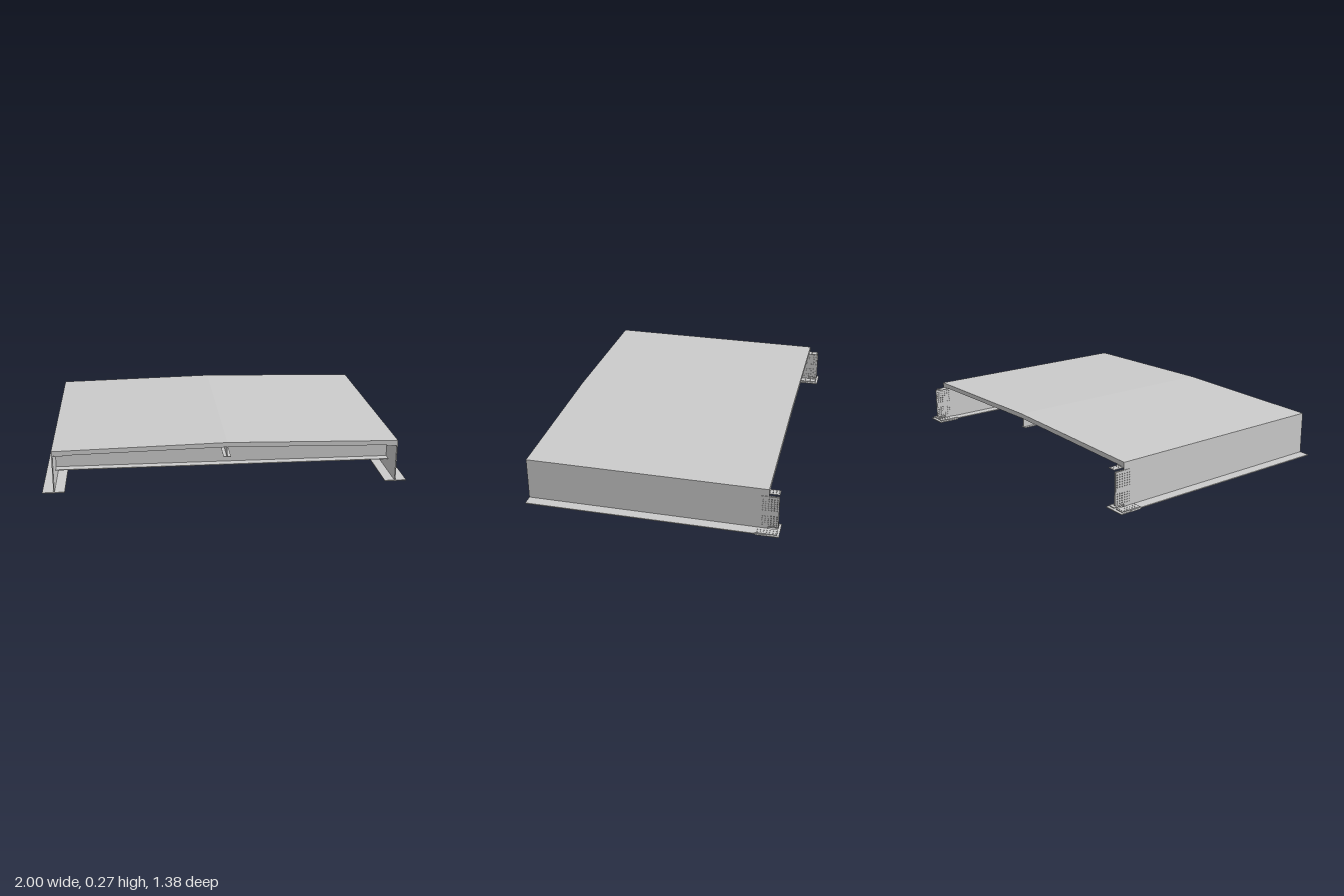
import * as THREE from 'three';

const FRONT = 0.685, BACK = -0.625, WEB_X = 0.937;
const FALL = 0.0055; // gentle fall of the whole deck towards the back

export function createModel() {
  const model = new THREE.Group();
  model.name = 'bridgeDeckSection';
  const material = new THREE.MeshStandardMaterial({ color: 0xcccccc, flatShading: true });

  const add = (name, geometry, parent = model) => {
    const p = geometry.attributes.position;
    for (let i = 0; i < p.count; i++) p.setY(i, p.getY(i) + FALL * (p.getZ(i) - 0.69));
    geometry.computeVertexNormals();
    const mesh = new THREE.Mesh(geometry, material);
    mesh.name = name;
    parent.add(mesh);
    return mesh;
  };

  // box given by its limits on each axis
  const box = (x0, x1, y0, y1, z0, z1) =>
    new THREE.BoxGeometry(x1 - x0, y1 - y0, z1 - z0)
      .translate((x0 + x1) / 2, (y0 + y1) / 2, (z0 + z1) / 2);

  // strip across the deck whose top and bottom may rise to a crown at x = 0
  const crowned = (half, top, topRise, bottom, bottomRise, z0, z1) => {
    const shape = new THREE.Shape([
      [-half, bottom], [0, bottom + bottomRise], [half, bottom],
      [half, top], [0, top + topRise], [-half, top],
    ].map(([x, y]) => new THREE.Vector2(x, y)));
    return new THREE.ExtrudeGeometry(shape, { depth: z1 - z0, bevelEnabled: false }).translate(0, 0, z0);
  };

  // drilled plate drawn in (u, v), extruded by its thickness
  const drilled = (u0, u1, v0, v1, us, vs, thickness) => {
    const shape = new THREE.Shape([
      new THREE.Vector2(u0, v0), new THREE.Vector2(u1, v0),
      new THREE.Vector2(u1, v1), new THREE.Vector2(u0, v1),
    ]);
    for (const u of us) for (const v of vs) {
      shape.holes.push(new THREE.Path().absarc(u, v, 0.0028, 0, Math.PI * 2, true));
    }
    return new THREE.ExtrudeGeometry(shape, { depth: thickness, bevelEnabled: false, curveSegments: 6 });
  };
  const row = (start, step, count) => Array.from({ length: count }, (_, i) => start + i * step);

  // concrete slab
  add('deckSlab', crowned(0.94, 0.252, 0.02, 0.226, 0.02, BACK, FRONT));

  // cross beams: web, flat bottom flange, crowned top flange
  for (const z of [-0.31, 0.09, 0.49]) {
    const beam = new THREE.Group();
    beam.name = 'crossBeam';
    model.add(beam);
    add('crossBeamWeb', crowned(WEB_X, 0.222, 0.02, 0.09, 0, z - 0.003, z + 0.003), beam);
    add('crossBeamBottomFlange', box(-WEB_X, WEB_X, 0.086, 0.09, z - 0.05, z + 0.05), beam);
    add('crossBeamTopFlange', crowned(0.88, 0.226, 0.02, 0.222, 0.02, z - 0.05, z + 0.05), beam);
  }

  // central stringer
  add('stringerWeb', box(-0.002, 0.002, 0.192, 0.246, BACK + 0.01, FRONT));
  add('stringerFlange', box(-0.02, 0.02, 0.189, 0.192, BACK + 0.01, FRONT));

  // main girders with drilled splice plates at the back end
  const webHoles = [...row(0.042, 0.013, 5), ...row(0.13, 0.013, 6)];
  for (const s of [-1, 1]) {
    const girder = new THREE.Group();
    girder.name = s > 0 ? 'leftGirder' : 'rightGirder';
    model.add(girder);
    const span = (a, b) => (s > 0 ? [a, b] : [-b, -a]);

    add('girderWeb', box(...span(0.934, 0.94), 0.0175, 0.226, BACK, FRONT), girder);
    add('girderBottomFlange', box(...span(0.88, 1), 0.0125, 0.0175, BACK, FRONT), girder);
    add('girderTopFlange', box(...span(0.88, 0.937), 0.222, 0.226, BACK, FRONT), girder);

    // web plates on both faces
    for (const x of [0.931, 0.94]) {
      const plate = drilled(0.585, 0.68, 0.032, 0.212, row(0.594, 0.0152, 6), webHoles, 0.003)
        .rotateY(Math.PI / 2); // u runs towards -z
      add('webSplicePlate', plate.translate(span(x, x + 0.003)[0], 0, 0), girder);
    }

    // flat plates above and below the flanges; v runs towards -z
    const flat = (name, a, b, us, y, z0, z1, t) => {
      const [u0, u1] = span(a, b);
      const plate = drilled(u0, u1, z0, z1, us.map((u) => u * s), row(z0 + 0.01, 0.0165, 7), t);
      add(name, plate.rotateX(-Math.PI / 2).translate(0, y, 0), girder);
    };
    flat('bottomSplicePlate', 0.876, 1, [0.895, 0.912, 0.965, 0.982], 0.0076, 0.565, 0.69, 0.0049);
    flat('innerBottomSplicePlate', 0.885, 0.93, [0.895, 0.912], 0.0175, 0.565, 0.68, 0.003);
    flat('outerBottomSplicePlate', 0.945, 0.995, [0.965, 0.982], 0.0175, 0.565, 0.68, 0.003);
    flat('topSplicePlate', 0.885, 0.93, [0.897, 0.914], 0.219, 0.565, 0.68, 0.003);
  }
  return model;
}
